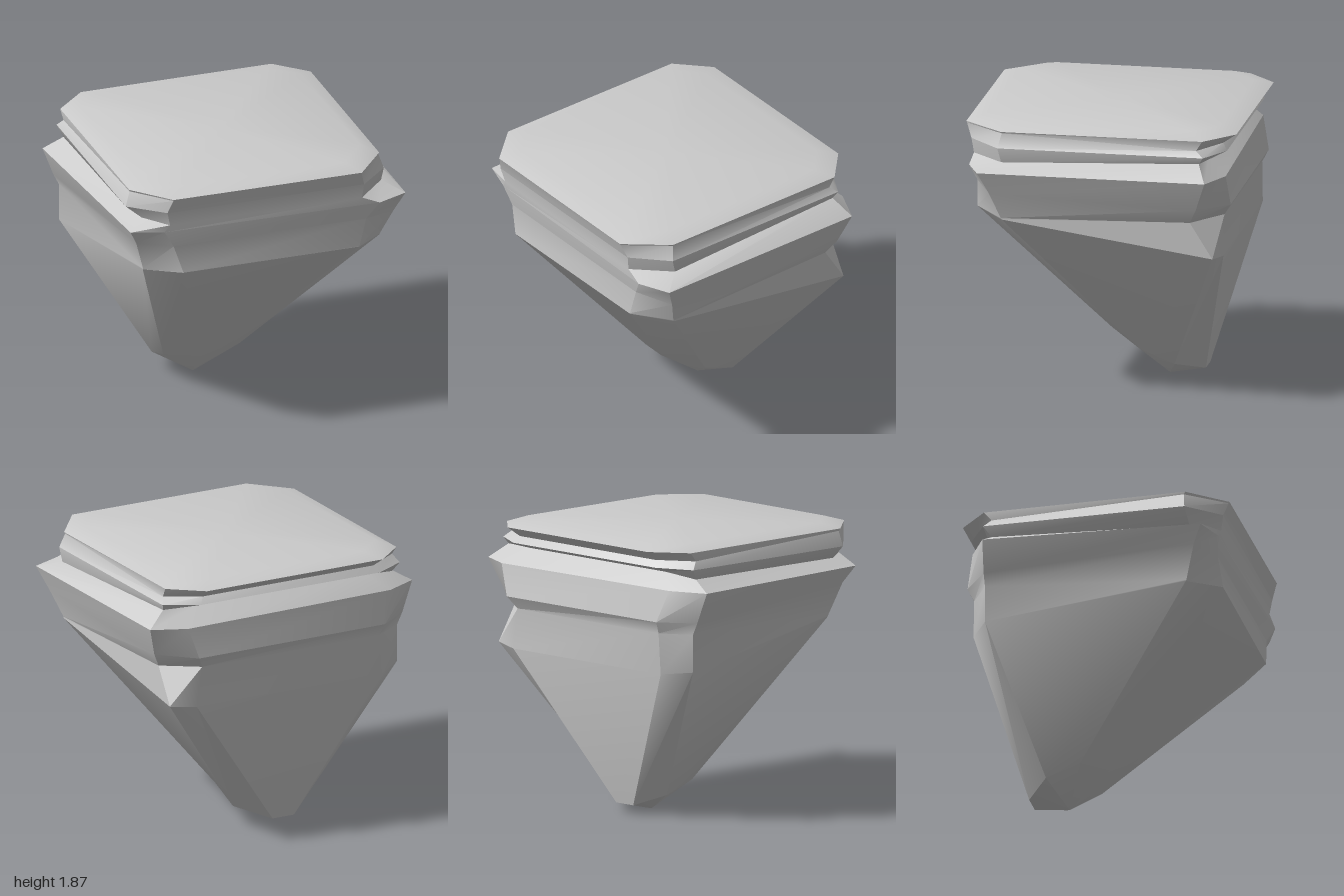
import * as THREE from 'three';
import { toCreasedNormals } from 'three/addons/utils/BufferGeometryUtils.js';

// Cross-sections: eight corners each, counterclockwise from above,
// starting at the front side's -x end (front, +x side, back, -x side).
const lip = [
  [-0.65, 1.835, 0.885], [0.65, 1.835, 0.895], [0.865, 1.83, 0.625], [0.865, 1.83, -0.71],
  [0.66, 1.835, -0.9], [-0.66, 1.835, -0.9], [-0.87, 1.83, -0.71], [-0.87, 1.835, 0.64]];
const underLip = [
  [-0.65, 1.825, 0.88], [0.65, 1.825, 0.89], [0.86, 1.82, 0.62], [0.86, 1.765, -0.67],
  [0.64, 1.77, -0.81], [-0.64, 1.77, -0.81], [-0.865, 1.77, -0.66], [-0.865, 1.82, 0.63]];
const ridge = [
  [-0.68, 1.73, 0.85], [0.68, 1.73, 0.855], [0.89, 1.725, 0.645], [0.89, 1.725, -0.72],
  [0.67, 1.725, -0.84], [-0.67, 1.725, -0.84], [-0.895, 1.72, -0.71], [-0.895, 1.72, 0.64]];
const groove = [
  [-0.655, 1.63, 0.83], [0.67, 1.63, 0.84], [0.88, 1.63, 0.62], [0.87, 1.68, -0.69],
  [0.64, 1.68, -0.715], [-0.64, 1.68, -0.715], [-0.865, 1.65, -0.66], [-0.79, 1.63, 0.65]];
const belt = [
  [-0.69, 1.58, 0.82], [0.79, 1.58, 0.85], [1, 1.58, 0.76], [1, 1.58, -0.75],
  [0.77, 1.58, -0.85], [-0.77, 1.58, -0.81], [-1, 1.575, -0.69], [-0.9, 1.58, 0.75]];
const waist = [
  [-0.62, 1.46, 0.8], [0.71, 1.46, 0.81], [0.94, 1.43, 0.69], [0.93, 1.38, -0.68],
  [0.7, 1.37, -0.87], [-0.7, 1.37, -0.86], [-0.92, 1.37, -0.7], [-0.84, 1.47, 0.69]];
const notch = [
  [-0.56, 1.275, 0.82], [0.66, 1.275, 0.82], [0.87, 1.25, 0.625], [0.87, 1.28, -0.63],
  [0.65, 1.29, -0.82], [-0.68, 1.29, -0.82], [-0.88, 1.29, -0.7], [-0.77, 1.25, 0.625]];
const girdle = [
  [-0.56, 1.27, 0.82], [0.66, 1.27, 0.82], [0.87, 1.24, 0.62], [0.87, 1.04, -0.78],
  [0.69, 1.02, -0.82], [-0.7, 1.02, -0.82], [-0.88, 1.04, -0.7], [-0.77, 1.24, 0.62]];
const foot = [
  [-0.16, 0.31, 0.05], [0, 0.31, 0.05], [0.18, 0.22, -0.17], [0.18, 0.13, -0.4],
  [-0.02, 0.06, -0.57], [-0.18, 0.06, -0.57], [-0.34, 0.13, -0.42], [-0.34, 0.21, -0.19]];
const tip = [-0.09, 0, -0.32];
// flat top, drawn in from the lip
const crown = lip.map(([x, , z]) => [x * 0.88, 1.87, z * 0.87]);

// Joins rings from top to bottom; optional end points close the shell.
function loft(name, rings, top, bottom) {
  const pos = [];
  const tri = (...pts) => pts.forEach((p) => pos.push(...p));
  const last = rings[rings.length - 1];
  for (let i = 0; i < 8; i++) {
    const j = (i + 1) % 8;
    for (let k = 0; k < rings.length - 1; k++) {
      const a = rings[k], b = rings[k + 1];
      tri(b[i], b[j], a[j]);
      tri(b[i], a[j], a[i]);
    }
    if (top) tri(top, rings[0][i], rings[0][j]);
    if (bottom) tri(bottom, last[j], last[i]);
  }
  const geo = new THREE.BufferGeometry();
  geo.setAttribute('position', new THREE.Float32BufferAttribute(pos, 3));
  const mesh = new THREE.Mesh(toCreasedNormals(geo, 0.54), new THREE.MeshStandardMaterial({ color: 0xcccccc }));
  mesh.name = name;
  return mesh;
}

export function createModel() {
  const group = new THREE.Group();
  group.name = 'hangingRock';
  group.add(
    loft('topSlab', [crown, lip, underLip, ridge], [0, 1.87, 0]),
    loft('taperedRock', [ridge, groove, belt, waist, notch, girdle, foot], null, tip)
  );
  return group;
}
